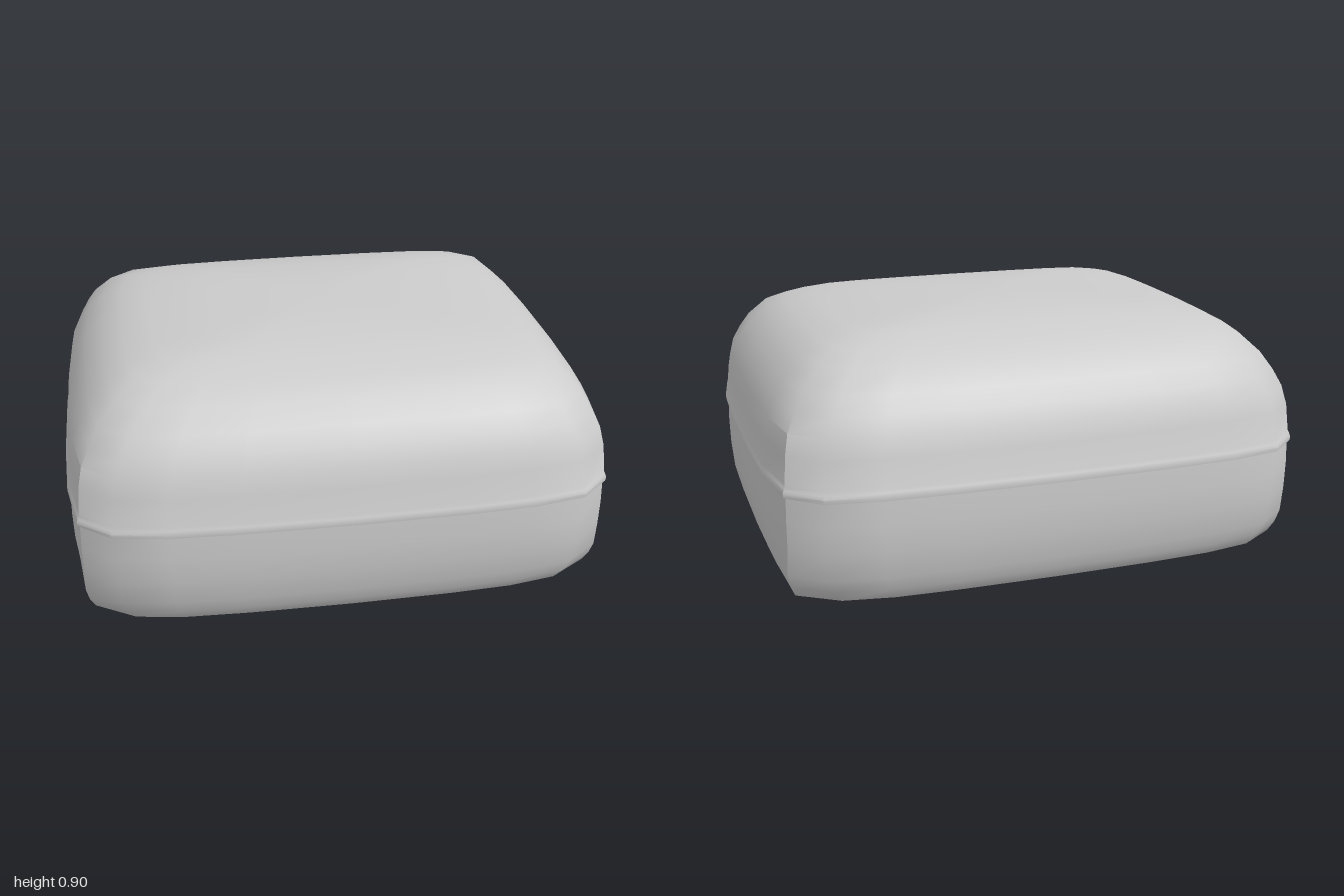
import * as THREE from 'three';
import { toCreasedNormals } from 'three/addons/utils/BufferGeometryUtils.js';

// One quarter of the plan outline, as fractions of the half width and half depth
const QUARTER = [[1, 0], [1, 0.23], [0.99, 0.57], [0.955, 0.828], [0.84, 0.943], [0.65, 0.98], [0.4, 0.994], [0, 1]];

function planOutline() {
  const back = QUARTER.map(([x, z]) => [x, -z]);
  const half = [...back, ...back.slice(0, -1).reverse().map(([x, z]) => [-x, z])];
  return [...half, ...half.slice(1, -1).map(([x, z]) => [-x, -z])];
}

// Skins rings of [height, half width, half depth, side bulge]; a zero width closes the shell
function shell(rings) {
  const outline = planOutline();
  const n = outline.length;
  const positions = [];
  const index = [];
  for (const [y, w, d, bulge = 1] of rings) {
    for (const [x, z] of outline) {
      const onSide = Math.abs(z) < 0.9;
      const px = onSide ? Math.sign(x) * (1 - (1 - Math.abs(x)) * bulge) : x;
      positions.push(px * w, y, z * d);
    }
  }
  for (let r = 0; r < rings.length - 1; r++) {
    for (let i = 0; i < n; i++) {
      const j = (i + 1) % n;
      const a = r * n + i, b = r * n + j, c = a + n, e = b + n;
      if (rings[r][1] > 0) index.push(a, b, e);
      if (rings[r + 1][1] > 0) index.push(a, e, c);
      else if (rings[r][1] > 0) index.splice(-1, 1, c);
    }
  }
  const geometry = new THREE.BufferGeometry();
  geometry.setAttribute('position', new THREE.Float32BufferAttribute(positions, 3));
  geometry.setIndex(index);
  return toCreasedNormals(geometry, THREE.MathUtils.degToRad(37));
}

export function createModel() {
  const model = new THREE.Group();
  model.name = 'roundedCase';
  const material = new THREE.MeshStandardMaterial({ color: 0xcccccc, side: THREE.DoubleSide });
  const add = (name, rings) => {
    const mesh = new THREE.Mesh(shell(rings), material);
    mesh.name = name;
    model.add(mesh);
  };

  // Lower half: flat underside and sides bulging up to the seam
  add('base', [
    [0, 0, 0],
    [0, 0.91, 0.785, 0.1],
    [0.008, 0.925, 0.8, 0.1],
    [0.05, 0.955, 0.823, 0.4],
    [0.1, 0.977, 0.84, 0.65],
    [0.2, 0.989, 0.86, 0.95],
    [0.3, 0.992, 0.865],
    [0.392, 0.99, 0.863],
  ]);

  // Upper half: slim lip at the seam, rounded shoulders and a shallow crown
  add('lid', [
    [0.387, 0.985, 0.858],
    [0.39, 0.998, 0.87],
    [0.405, 1, 0.872],
    [0.418, 0.996, 0.868],
    [0.43, 0.991, 0.863],
    [0.53, 0.983, 0.85],
    [0.6, 0.968, 0.826],
    [0.66, 0.937, 0.8],
    [0.72, 0.9, 0.755],
    [0.79, 0.828, 0.69],
    [0.83, 0.755, 0.59],
    [0.86, 0.65, 0.49],
    [0.882, 0.42, 0.37],
    [0.894, 0.2, 0.2],
    [0.898, 0, 0],
  ]);

  return model;
}
